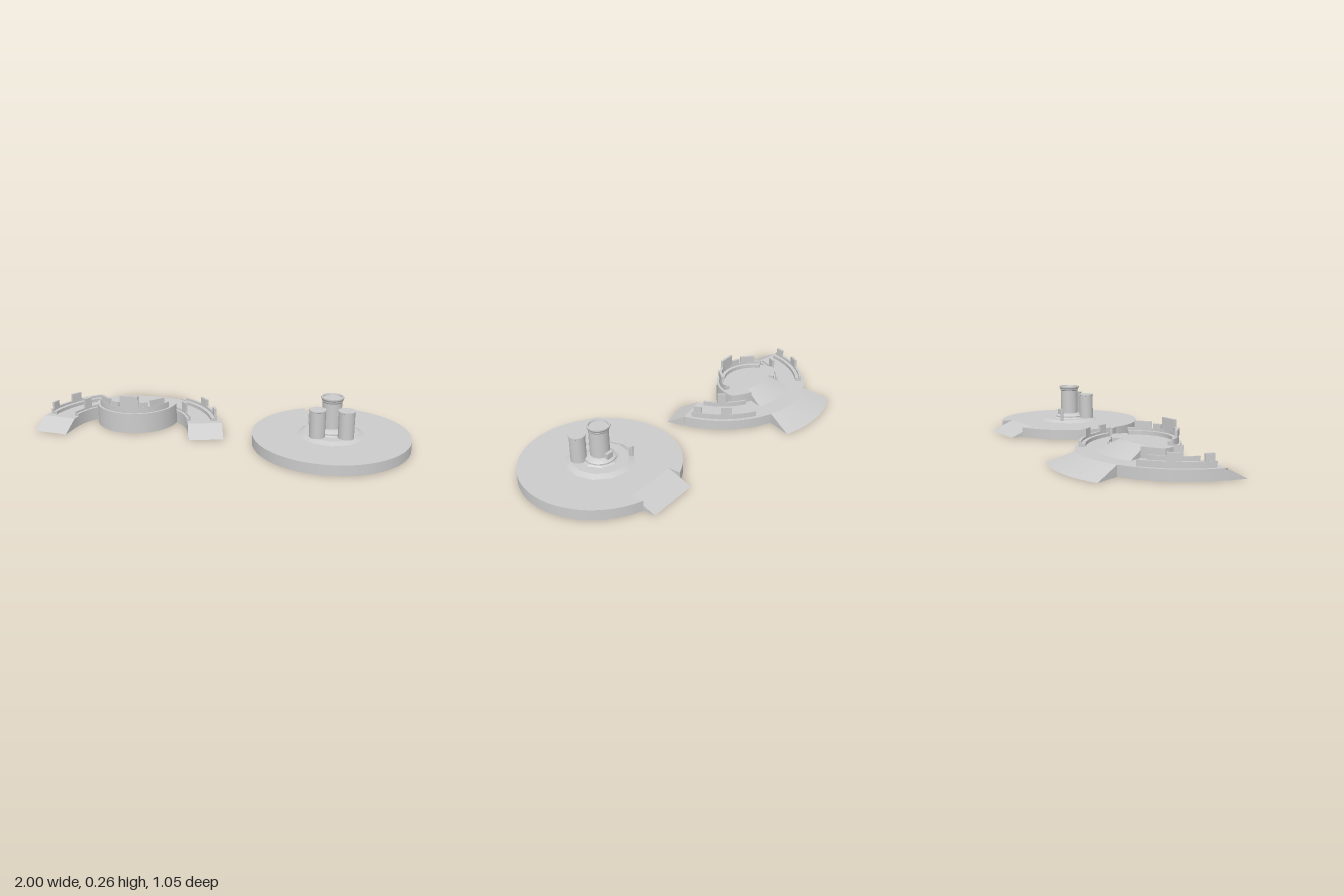
import * as THREE from 'three';
import { toCreasedNormals } from 'three/addons/utils/BufferGeometryUtils.js';

const D = Math.PI / 180;
// The platforms are thin shells, open underneath
const material = new THREE.MeshStandardMaterial({ color: 0xcccccc, side: THREE.DoubleSide });

function add(parent, name, geometry, x = 0, y = 0, z = 0) {
  const mesh = new THREE.Mesh(geometry, material);
  mesh.name = name;
  mesh.position.set(x, y, z);
  parent.add(mesh);
  return mesh;
}

function fromPositions(pos) {
  const g = new THREE.BufferGeometry();
  g.setAttribute('position', new THREE.Float32BufferAttribute(pos, 3));
  return toCreasedNormals(g, 0.4);
}

// Shell through a row of equal loops, each counter-clockwise seen from the far end;
// only the first few edges of the loop are skinned, by default all but the last
function loft(sections, edges = sections[0].length - 1, caps = true) {
  const pos = [];
  const tri = (...pts) => pts.forEach(p => pos.push(...p));
  const first = sections[0], last = sections[sections.length - 1];
  for (let s = 0; s + 1 < sections.length; s++) {
    const a = sections[s], b = sections[s + 1];
    for (let k = 0; k < edges; k++) {
      tri(a[k], a[k + 1], b[k + 1]);
      tri(a[k], b[k + 1], b[k]);
    }
  }
  for (let k = 1; caps && k + 1 < first.length; k++) {
    tri(first[0], first[k + 1], first[k]);
    tri(last[0], last[k], last[k + 1]);
  }
  return fromPositions(pos);
}

// Sweep an [r, y] profile around the y axis; angle 0 points to the back, 90 to +x
function arcSweep(profile, from, to, steps, edges, caps) {
  const sections = [];
  for (let i = 0; i <= steps; i++) {
    const a = (from + (to - from) * i / steps) * D;
    sections.push(profile.map(([r, y]) => [r * Math.sin(a), y, -r * Math.cos(a)]));
  }
  return loft(sections, edges, caps);
}

// Console with a desk on the inside and a taller back edge
function consoleProfile(r0, r1, y0, y1) {
  const rm = r0 + (r1 - r0) * 0.6, ym = y0 + (y1 - y0) * 0.6;
  return [[r1, y0], [r1, y1], [rm, y1], [rm, ym], [r0, ym], [r0, y0]];
}

// Upright panel on a console arc
function panel(parent, r, angle, y, w, h, zc = 0) {
  const a = angle * D;
  const m = add(parent, 'screen', new THREE.BoxGeometry(w, h, 0.014),
    r * Math.sin(a), y + h / 2, zc - r * Math.cos(a));
  m.rotation.y = -a;
}

// Raise a plan shape and leave out its underside
function extrudeUp(shape, height) {
  const g = new THREE.ExtrudeGeometry(shape, { depth: height, bevelEnabled: false, curveSegments: 48 });
  g.rotateX(-Math.PI / 2);
  const p = g.attributes.position.array, kept = [];
  for (let i = 0; i < p.length; i += 9) {
    if (Math.max(p[i + 1], p[i + 4], p[i + 7]) > 0.001) kept.push(...p.slice(i, i + 9));
  }
  return fromPositions(kept);
}

function lathe(points, sides) {
  const g = new THREE.LatheGeometry(points.map(p => new THREE.Vector2(...p)), sides);
  return toCreasedNormals(g, 0.4);
}

function createRoundPlatform() {
  const g = new THREE.Group();
  g.name = 'roundPlatform';

  // Disc with a notch at the back for the ramp and an opening under the dais
  const s = new THREE.Shape();
  s.absarc(0, 0, 0.41, 110 * D, 430 * D, false);
  s.lineTo(0.14, 0.32);
  s.lineTo(-0.14, 0.32);
  s.closePath();
  s.holes.push(new THREE.Path().absarc(0, 0, 0.168, 0, 2 * Math.PI, true));
  const disc = extrudeUp(s, 0.055);
  // Fold the wall of the opening up against the deck
  const p = disc.attributes.position;
  for (let i = 0; i < p.count; i++) {
    if (Math.hypot(p.getX(i), p.getZ(i)) < 0.17) p.setY(i, 0.055);
  }
  add(g, 'disc', disc);
  const wedge = x => [[x, 0, -0.452], [x, 0.055, -0.32], [x, 0, -0.32]];
  add(g, 'entryRamp', loft([wedge(-0.14), wedge(0.14)], 1));

  // Raised centre
  add(g, 'dais', lathe([[0.175, 0.055], [0.145, 0.068], [0, 0.068]], 12));
  add(g, 'step', lathe([[0.095, 0.068], [0.085, 0.074], [0, 0.074]], 8));

  // Central column with skirt and flared top
  add(g, 'column', lathe([[0.08, 0.072], [0.08, 0.081], [0.06, 0.094], [0.05, 0.096],
    [0.05, 0.232], [0.054, 0.238], [0.054, 0.243], [0.059, 0.252], [0.059, 0.259],
    [0.05, 0.259], [0.048, 0.25], [0, 0.25]], 24));
  add(g, 'columnConsole', new THREE.BoxGeometry(0.04, 0.03, 0.02), 0, 0.105, -0.058);

  // Twin front cylinders
  for (const side of [-1, 1]) {
    add(g, 'sideCylinder', lathe([[0.041, 0.066], [0.041, 0.203], [0.044, 0.205],
      [0.044, 0.212], [0, 0.212]], 20), side * 0.073, 0, 0.077);
  }
  add(g, 'post', new THREE.CylinderGeometry(0.01, 0.01, 0.055, 10), -0.11, 0.093, -0.11);
  return g;
}

function createCrescentDeck() {
  const g = new THREE.Group();
  g.name = 'crescentDeck';
  const ring = [[0.5, 0], [0.5, 0.055], [0.32, 0.055], [0.32, 0]];
  add(g, 'crescent', arcSweep(ring, -79, 79, 40, 3, false));

  // Ramps at the back and up to the inner deck
  add(g, 'backRamp', arcSweep([[0.645, 0], [0.5, 0.055], [0.5, 0]], -22, 22, 10, 1));
  add(g, 'innerRamp', arcSweep([[0.4, 0.055], [0.277, 0.11], [0.277, 0.055]], -22.5, 22.5, 10, 1));

  // Inner deck: round in front, following the crescent behind
  const s = new THREE.Shape();
  s.absarc(0, 0.247, 0.224, 184.3 * D, 355.7 * D, false);
  s.absarc(0, 0, 0.32, 46 * D, 67.5 * D, false);
  s.absarc(0, 0, 0.277, 67.5 * D, 112.5 * D, false);
  s.absarc(0, 0, 0.32, 112.5 * D, 134 * D, false);
  s.closePath();
  add(g, 'innerDeck', extrudeUp(s, 0.11));

  // Front console around the inner deck
  add(g, 'frontConsole', arcSweep(consoleProfile(0.18, 0.212, 0.11, 0.142), 114, 246, 20), 0, 0, -0.247);
  panel(g, 0.203, 180, 0.142, 0.1, 0.062, -0.247);

  for (const side of [-1, 1]) {
    const span = (a, b) => side > 0 ? [a, b] : [-b, -a];

    // End ramp, running on along the tangent
    const a = 79 * D;
    const section = r => {
      const x = r * Math.sin(a), z = -r * Math.cos(a);
      const foot = [side * (x + Math.cos(a) * 0.103), 0, z + Math.sin(a) * 0.103];
      const top = [side * x, 0.055, z], under = [side * x, 0, z];
      return side > 0 ? [top, foot, under] : [foot, top, under];
    };
    add(g, 'endRamp', loft([section(0.32), section(0.505)], 1));

    // Outer and inner side consoles
    add(g, 'outerConsole', arcSweep(consoleProfile(0.448, 0.482, 0.055, 0.085), ...span(32, 75), 12));
    add(g, 'innerConsole', arcSweep(consoleProfile(0.318, 0.342, 0.055, 0.08), ...span(31, 72), 12));

    // Screens
    panel(g, 0.473, side * 71, 0.085, 0.045, 0.035);
    panel(g, 0.473, side * 52, 0.085, 0.06, 0.04);
    panel(g, 0.337, side * 55, 0.08, 0.045, 0.052);
    panel(g, 0.203, 180 - side * 44, 0.142, 0.085, 0.034, -0.247);
    panel(g, 0.203, 180 - side * 22, 0.142, 0.045, 0.025, -0.247);
  }
  return g;
}

export function createModel() {
  const model = new THREE.Group();
  model.name = 'platforms';
  const disc = createRoundPlatform();
  disc.position.set(0.59, 0, 0.112);
  const crescent = createCrescentDeck();
  crescent.position.set(-0.487, 0, 0.12);
  model.add(disc, crescent);
  return model;
}
